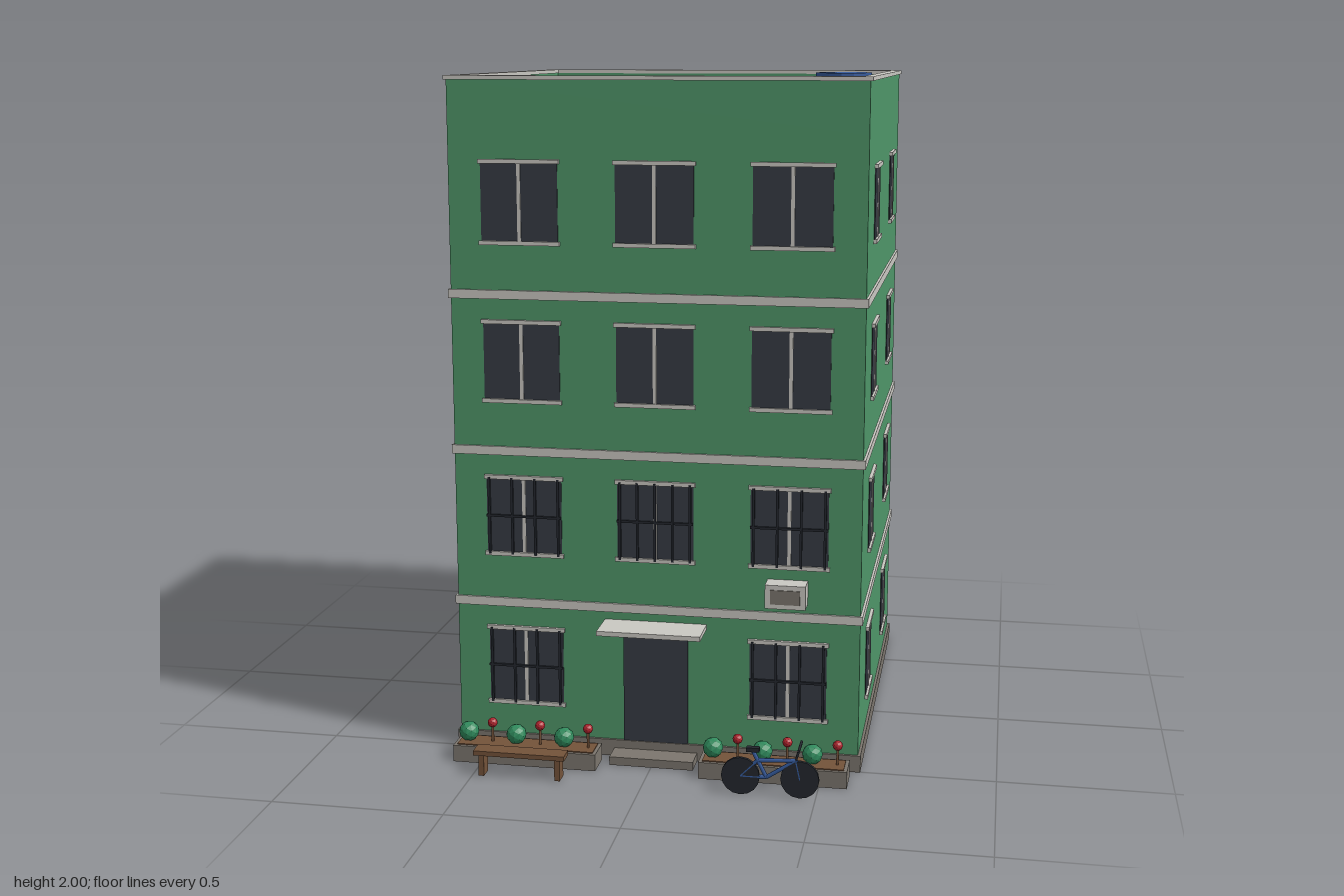
import * as THREE from 'three';

const mat = (name, color) => {
  const m = new THREE.MeshStandardMaterial({ color });
  m.name = name;
  return m;
};

export function createModel() {
  const wall = mat('wall green', 0x4f9669);
  const trim = mat('pale trim', 0xcac8c2);
  const glass = mat('dark glass', 0x373b44);
  const stone = mat('grey stone', 0x7c766e);
  const wood = mat('brown wood', 0x74533a);
  const blue = mat('blue', 0x345a9c);
  const red = mat('flower red', 0xb0242e);
  const leaf = mat('leaf green', 0x2f8a5c);
  const dark = mat('dark metal', 0x23272e);

  const root = new THREE.Group();
  root.name = 'apartmentBuilding';
  const W = 0.6, ZF = 0.495, ZB = -0.745, ROOF = 1.84, FLOOR = 0.46;
  const ZC = (ZF + ZB) / 2;

  const add = (parent, name, geo, m, x = 0, y = 0, z = 0) => {
    const mesh = new THREE.Mesh(geo, m);
    mesh.name = name;
    mesh.position.set(x, y, z);
    parent.add(mesh);
    return mesh;
  };
  const group = (parent, name) => {
    const g = new THREE.Group();
    g.name = name;
    parent.add(g);
    return g;
  };
  // box given by its minimum and maximum corners
  const box = (parent, name, m, [x0, y0, z0], [x1, y1, z1]) =>
    add(parent, name, new THREE.BoxGeometry(x1 - x0, y1 - y0, z1 - z0), m,
      (x0 + x1) / 2, (y0 + y1) / 2, (z0 + z1) / 2);
  // flat facets for low-poly round parts
  const facet = (geo) => {
    const g = geo.index ? geo.toNonIndexed() : geo;
    g.computeVertexNormals();
    return g;
  };
  // rod between two points
  const rod = (parent, name, m, a, b, r) => {
    const p = new THREE.Vector3(...a), q = new THREE.Vector3(...b);
    const d = q.clone().sub(p);
    const mesh = add(parent, name, new THREE.CylinderGeometry(r, r, d.length(), 6), m);
    mesh.position.copy(p).add(q).multiplyScalar(0.5);
    mesh.quaternion.setFromUnitVectors(new THREE.Vector3(0, 1, 0), d.normalize());
    return mesh;
  };
  // rectangular ring around the building, offset outward by o and inward by i
  const ring = (name, m, y0, y1, o, i) => {
    const rect = (P, e) => {
      const a = W + e, b = (ZF - ZB) / 2 + e;
      return P.moveTo(-a, -b).lineTo(a, -b).lineTo(a, b).lineTo(-a, b).closePath();
    };
    const s = rect(new THREE.Shape(), o);
    s.holes.push(rect(new THREE.Path(), -i));
    const geo = new THREE.ExtrudeGeometry(s, { depth: y1 - y0, bevelEnabled: false });
    geo.rotateX(-Math.PI / 2);
    return add(root, name, geo, m, 0, y0, ZC);
  };

  // walls, parapet, plinth and floor bands
  box(root, 'walls', wall, [-W, 0, ZB], [W, ROOF, ZF]);
  ring('parapet', wall, ROOF, 1.99, 0, 0.018);
  ring('parapetCap', trim, 1.988, 2, 0.007, 0.022);
  ring('plinth', stone, 0, 0.05, 0.008, 0);
  for (let i = 1; i <= 3; i++) ring('floorBand', trim, i * FLOOR - 0.014, i * FLOOR + 0.012, 0.007, 0);

  // window facing +z with its sill at the group origin
  const makeWindow = (w, h, bars) => {
    const g = new THREE.Group();
    g.name = 'window';
    box(g, 'glass', glass, [-w / 2, 0, -0.002], [w / 2, h, 0.003]);
    box(g, 'mullion', trim, [-0.005, 0, 0], [0.005, h, 0.006]);
    for (const y of [0, h]) box(g, y ? 'lintel' : 'sill', trim,
      [-w / 2 - 0.006, y - 0.006, 0], [w / 2 + 0.006, y + 0.006, 0.01]);
    // security bars
    if (bars) {
      for (let i = 0; i < bars; i++) {
        const x = (i / (bars - 1) - 0.5) * w * 0.92;
        box(g, 'bar', dark, [x - 0.0035, 0, 0.006], [x + 0.0035, h, 0.013]);
      }
      box(g, 'crossBar', dark, [-w / 2, h / 2 - 0.0035, 0.006], [w / 2, h / 2 + 0.0035, 0.012]);
    }
    return g;
  };
  const place = (win, x, y, z, turn) => {
    win.position.set(x, y, z);
    win.rotation.y = turn;
    root.add(win);
  };
  for (let f = 0; f < 4; f++) {
    const y = 0.148 + f * FLOOR;
    for (const x of [-0.392, 0, 0.392]) {
      if (f === 0 && x === 0) continue;
      place(makeWindow(0.225, 0.232, f > 1 ? 0 : x === 0 ? 5 : 4), x, y, ZF, 0);
    }
    for (const s of [-1, 1]) {
      place(makeWindow(0.178, 0.215, 0), s * 0.305, y, ZB, Math.PI);
      for (const sx of [-1, 1]) place(makeWindow(0.178, 0.215, 0), sx * W, y, ZC + s * 0.308, sx * Math.PI / 2);
    }
  }

  // entrance
  box(root, 'door', glass, [-0.096, 0.05, ZF - 0.002], [0.096, 0.375, ZF + 0.005]);
  box(root, 'canopy', trim, [-0.152, 0.408, ZF], [0.152, 0.422, 0.612]);
  box(root, 'doorStep', stone, [-0.125, 0, ZF], [0.125, 0.025, 0.575]);

  // air conditioner
  const ac = group(root, 'airConditioner');
  box(ac, 'housing', trim, [0.33, 0.5, ZF], [0.447, 0.57, 0.556]);
  box(ac, 'grille', stone, [0.346, 0.514, 0.55], [0.431, 0.556, 0.559]);

  // roof water tank
  const tank = group(root, 'waterTank');
  box(tank, 'tankBase', trim, [0.33, ROOF, -0.66], [0.53, ROOF + 0.02, -0.46]);
  add(tank, 'tankBody', facet(new THREE.CylinderGeometry(0.093, 0.093, 0.135, 14)), blue, 0.43, 1.9275, -0.56);

  // planters with bushes and flowers
  for (const x0 of [-0.585, 0.15]) {
    const p = group(root, 'planter');
    box(p, 'planterBox', stone, [x0, 0, 0.537], [x0 + 0.43, 0.05, 0.63]);
    box(p, 'soil', wood, [x0 + 0.01, 0.045, 0.547], [x0 + 0.42, 0.053, 0.62]);
    for (let i = 0; i < 6; i++) {
      const x = x0 + 0.036 + i * 0.0725;
      if (i % 2 === 0) {
        add(p, 'bush', facet(new THREE.IcosahedronGeometry(0.03, 1)), leaf, x, 0.08, 0.583);
      } else {
        rod(p, 'stem', wood, [x, 0.05, 0.583], [x, 0.105, 0.583], 0.004);
        add(p, 'flower', facet(new THREE.IcosahedronGeometry(0.015, 1)), red, x, 0.111, 0.583);
      }
    }
  }

  // bench
  const bench = group(root, 'bench');
  box(bench, 'benchSeat', wood, [-0.495, 0.063, 0.672], [-0.225, 0.077, 0.725]);
  for (const x of [-0.473, -0.247]) box(bench, 'benchLeg', wood, [x - 0.008, 0, 0.677], [x + 0.008, 0.063, 0.72]);

  // bicycle
  const bike = group(root, 'bicycle');
  bike.position.z = 0.713;
  for (const x of [0.286, 0.455]) {
    const wheel = add(bike, 'wheel', facet(new THREE.CylinderGeometry(0.055, 0.055, 0.01, 16)), dark, x, 0.055, 0);
    wheel.rotation.x = Math.PI / 2;
  }
  const rear = [0.286, 0.055, 0], crank = [0.36, 0.055, 0], saddle = [0.322, 0.13, 0];
  const seatTop = [0.335, 0.104, 0], head = [0.443, 0.11, 0], front = [0.455, 0.055, 0], stem = [0.455, 0.153, 0];
  for (const [a, b] of [[rear, crank], [rear, seatTop], [crank, saddle], [seatTop, head], [crank, head], [head, front]])
    rod(bike, 'frameTube', blue, a, b, 0.006);
  rod(bike, 'handlebarStem', dark, head, stem, 0.004);
  rod(bike, 'handlebar', dark, [0.455, 0.153, -0.038], [0.455, 0.153, 0.038], 0.004);
  box(bike, 'saddle', dark, [0.303, 0.13, -0.009], [0.34, 0.142, 0.009]);

  return root;
}
